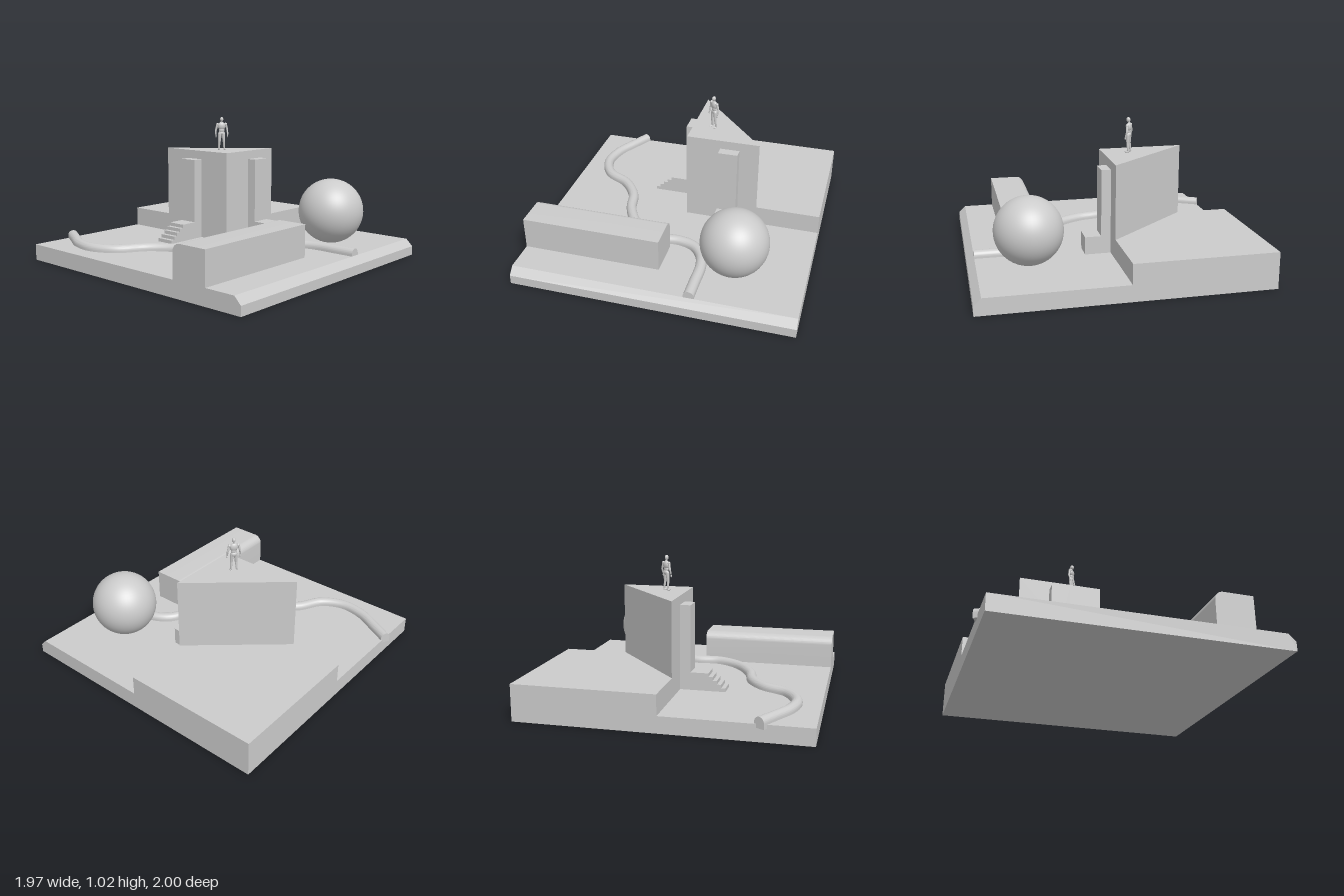
import * as THREE from 'three';
import { toCreasedNormals } from 'three/addons/utils/BufferGeometryUtils.js';

const material = new THREE.MeshStandardMaterial({ color: 0xcccccc });
const GROUND = 0.115;
const HALF = 0.985;

function part(parent, name, geometry) {
  const mesh = new THREE.Mesh(geometry, material);
  mesh.name = name;
  parent.add(mesh);
  return mesh;
}

// Box given by its limits on each axis
function block(parent, name, [x0, x1], [y0, y1], [z0, z1]) {
  const mesh = part(parent, name, new THREE.BoxGeometry(x1 - x0, y1 - y0, z1 - z0));
  mesh.position.set((x0 + x1) / 2, (y0 + y1) / 2, (z0 + z1) / 2);
  return mesh;
}

// Profile drawn with (-z, y) and run along x
function extrudeX(shape, x0, x1) {
  const geometry = new THREE.ExtrudeGeometry(shape, { depth: x1 - x0, bevelEnabled: false, curveSegments: 12 });
  geometry.rotateY(Math.PI / 2).translate(x0, 0, 0);
  return toCreasedNormals(geometry, 0.5);
}

const polygon = (points) => new THREE.Shape(points.map(([x, y]) => new THREE.Vector2(x, y)));

// Tapered limb with rounded ends between two points
function limb(parent, name, a, b, ra, rb) {
  const from = new THREE.Vector3(...a), to = new THREE.Vector3(...b);
  const length = from.distanceTo(to);
  const profile = [];
  for (let i = 0; i <= 4; i++) {
    const t = -Math.PI / 2 + (i / 4) * (Math.PI / 2);
    profile.push(new THREE.Vector2(ra * Math.cos(t), ra * Math.sin(t)));
  }
  for (let i = 0; i <= 4; i++) {
    const t = (i / 4) * (Math.PI / 2);
    profile.push(new THREE.Vector2(rb * Math.cos(t), length + rb * Math.sin(t)));
  }
  const mesh = part(parent, name, new THREE.LatheGeometry(profile, 12));
  mesh.position.copy(from);
  mesh.quaternion.setFromUnitVectors(new THREE.Vector3(0, 1, 0), to.sub(from).normalize());
  return mesh;
}

function ellipsoid(parent, name, [x, y, z], [rx, ry, rz]) {
  const mesh = part(parent, name, new THREE.SphereGeometry(1, 16, 12));
  mesh.position.set(x, y, z);
  mesh.scale.set(rx, ry, rz);
}

// Standing figure, feet at the origin, facing +z
function createFigure() {
  const figure = new THREE.Group();
  figure.name = 'figure';
  ellipsoid(figure, 'head', [0, 0.232, 0.004], [0.0125, 0.018, 0.015]);
  limb(figure, 'neck', [0, 0.2, -0.002], [0, 0.22, 0.001], 0.009, 0.007);
  ellipsoid(figure, 'chest', [0, 0.181, 0], [0.029, 0.031, 0.018]);
  ellipsoid(figure, 'waist', [0, 0.151, 0], [0.021, 0.026, 0.014]);
  ellipsoid(figure, 'hips', [0, 0.128, -0.002], [0.024, 0.019, 0.017]);
  for (const s of [-1, 1]) {
    ellipsoid(figure, 'shoulder', [s * 0.031, 0.194, 0], [0.011, 0.012, 0.011]);
    limb(figure, 'upperArm', [s * 0.033, 0.19, 0], [s * 0.044, 0.15, -0.003], 0.009, 0.007);
    limb(figure, 'forearm', [s * 0.044, 0.15, -0.003], [s * 0.045, 0.118, 0.006], 0.007, 0.005);
    ellipsoid(figure, 'hand', [s * 0.045, 0.106, 0.008], [0.004, 0.01, 0.006]);
    limb(figure, 'thigh', [s * 0.013, 0.122, 0], [s * 0.017, 0.066, 0.002], 0.014, 0.0095);
    limb(figure, 'shin', [s * 0.017, 0.066, 0.002], [s * 0.02, 0.013, -0.004], 0.0095, 0.006);
    ellipsoid(figure, 'foot', [s * 0.021, 0.006, 0.006], [0.008, 0.006, 0.018]);
  }
  return figure;
}

export function createModel() {
  const model = new THREE.Group();
  model.name = 'plaza';

  // Ground slab with a chamfered front edge
  part(model, 'groundSlab', extrudeX(polygon([
    [-1, 0], [0.97, 0], [0.97, GROUND], [-0.95, GROUND], [-1, 0.065],
  ]), -HALF, HALF));

  block(model, 'terrace', [0, HALF], [GROUND, 0.255], [-0.97, 0.013]);

  // Triangular tower
  const tower = new THREE.ExtrudeGeometry(
    polygon([[0, -0.014], [0.525, -0.014], [0, 0.597]]), { depth: 0.773 - GROUND, bevelEnabled: false });
  part(model, 'tower', tower.rotateX(-Math.PI / 2).translate(0, GROUND, 0));

  // Doorway and landing on the front face
  block(model, 'frontDoorway', [0.243, 0.383], [GROUND, 0.71], [0.012, 0.081]);
  block(model, 'frontLanding', [0.243, 0.383], [GROUND, 0.24], [0.081, 0.195]);

  // Doorway, landing and stairs on the right face
  const stairZ = [-0.375, -0.24];
  block(model, 'sideDoorway', [-0.075, 0], [GROUND, 0.71], stairZ);
  block(model, 'sideLanding', [-0.2, -0.075], [GROUND, 0.24], stairZ);
  for (let i = 0; i < 4; i++) {
    const x = -0.2 - i * 0.03;
    block(model, 'stairStep', [x - 0.03, x], [GROUND, 0.215 - i * 0.025], stairZ);
  }

  // Long wall, its top rounded along the back
  const wall = new THREE.Shape();
  const r = 0.06;
  wall.moveTo(-0.725, GROUND);
  wall.lineTo(-0.455, GROUND);
  wall.lineTo(-0.455, 0.345 - r);
  wall.absarc(-0.455 - r, 0.345 - r, r, 0, Math.PI / 2, false);
  wall.lineTo(-0.725, 0.345);
  part(model, 'longWall', extrudeX(wall, -HALF, -0.003));

  // Winding round-topped channel, partly sunk in the slab
  const path = new THREE.CatmullRomCurve3([
    [0.267, 0.95], [0.267, 0.8], [0.266, 0.63], [0.235, 0.51], [0.165, 0.425], [0.055, 0.388],
    [-0.13, 0.39], [-0.3, 0.285], [-0.415, 0.1], [-0.465, -0.09], [-0.57, -0.235], [-0.745, -0.345],
    [-0.823, -0.51], [-0.797, -0.69], [-0.72, -0.84], [-0.643, -0.98],
  ].map(([x, z]) => new THREE.Vector3(x, 0, z)));
  const w = 0.037;
  const section = new THREE.Shape();
  section.moveTo(-0.09, w);
  section.lineTo(-0.165 + w, w);
  section.absarc(-0.165 + w, 0, w, Math.PI / 2, Math.PI * 1.5, false);
  section.lineTo(-0.09, -w);
  const channel = new THREE.ExtrudeGeometry(section, { steps: 90, curveSegments: 12, extrudePath: path });
  part(model, 'windingChannel', toCreasedNormals(channel, 0.7));

  const sphere = part(model, 'sphere', new THREE.SphereGeometry(0.234, 48, 32));
  sphere.position.set(0.49, 0.355, 0.597);

  const figure = createFigure();
  figure.position.set(0.15, 0.773, -0.17);
  figure.rotation.y = -0.64;
  model.add(figure);

  return model;
}
